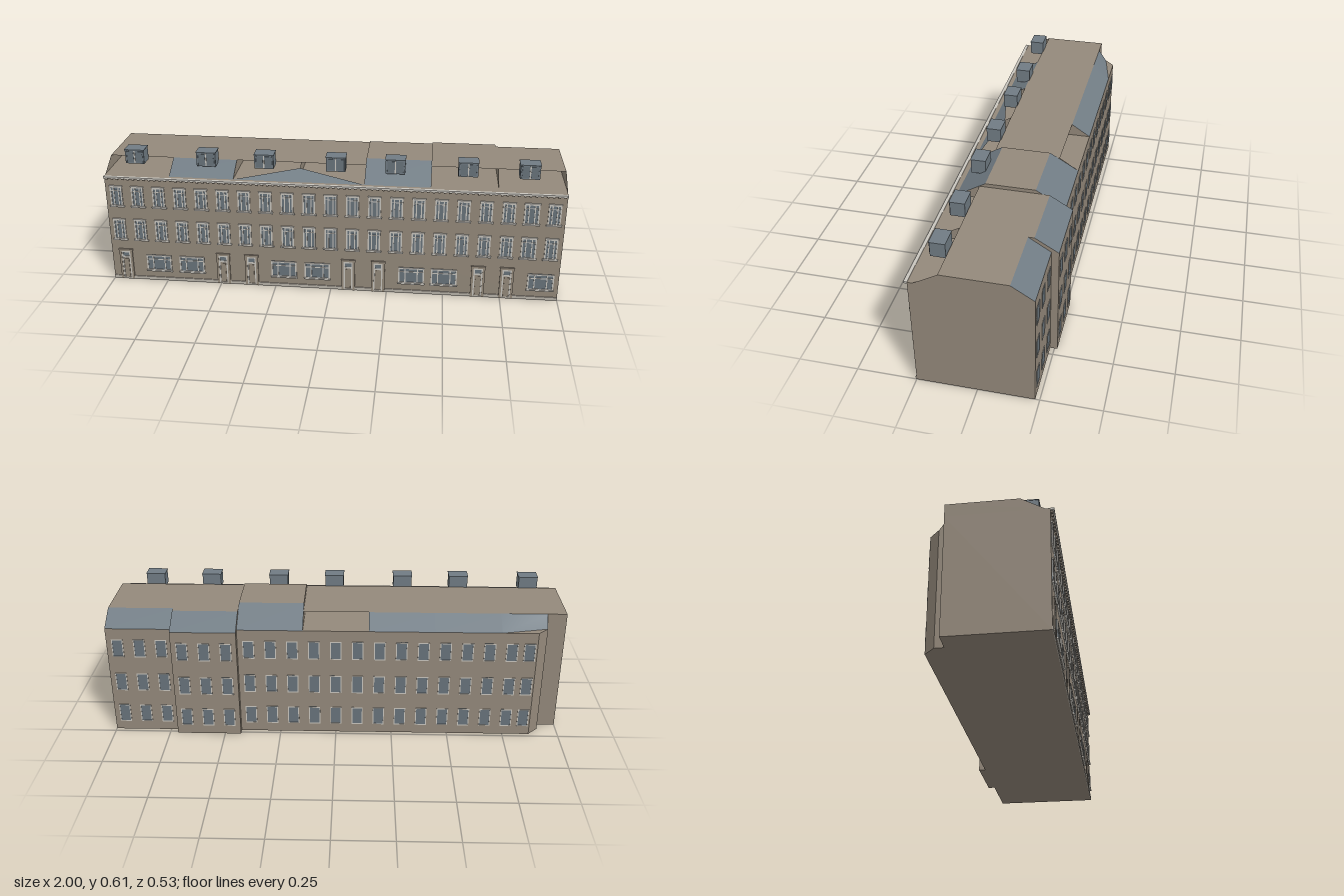
import * as THREE from 'three';

export function createModel() {
  const root = new THREE.Group();
  root.name = 'terraceRow';

  const mat = (name, color, side = THREE.FrontSide) => {
    const m = new THREE.MeshStandardMaterial({ color, side });
    m.name = name;
    return m;
  };
  const brown = mat('brownRender', 0x94897b, THREE.DoubleSide);
  const slate = mat('slate', 0x717c84, THREE.DoubleSide);
  const glass = mat('windowGlass', 0x68737b);
  const trim = mat('paleTrim', 0xc9c6bf);
  const plinthMat = mat('plinthStone', 0xb9b3a9);

  const add = (parent, name, geo, material) => {
    const m = new THREE.Mesh(geo, material);
    m.name = name;
    parent.add(m);
    return m;
  };
  const box = (parent, name, w, h, d, x, y, z, material) => {
    const m = add(parent, name, new THREE.BoxGeometry(w, h, d), material);
    m.position.set(x, y, z);
    return m;
  };
  const group = (name, x = 0, y = 0, z = 0) => {
    const g = new THREE.Group();
    g.name = name;
    g.position.set(x, y, z);
    root.add(g);
    return g;
  };
  // Flat convex sheet through a few corner points
  const sheet = (name, pts, material) => {
    const g = new THREE.BufferGeometry();
    g.setAttribute('position', new THREE.Float32BufferAttribute(pts.flat(), 3));
    const idx = [];
    for (let i = 1; i < pts.length - 1; i++) idx.push(0, i, i + 1);
    g.setIndex(idx);
    g.computeVertexNormals();
    return add(root, name, g, material);
  };

  const W = 2 / 7, EAVE = 0.506, FRONT = 0.25, FEAVE = 0.23;
  const edge = i => -1 + i * W;

  // Walls: footprint with the stepped back, extruded up to the eaves
  const footprint = [
    [-1, FRONT], [1, FRONT], [1, -0.232], [edge(6), -0.232], [edge(6), -0.262],
    [edge(5), -0.262], [edge(5), -0.232], [-0.87, -0.232], [-0.915, -0.188],
    [-0.915, -0.15], [-1, -0.15],
  ];
  const shape = new THREE.Shape(footprint.map(([x, z]) => new THREE.Vector2(x, -z)));
  const walls = new THREE.ExtrudeGeometry(shape, { depth: EAVE, bevelEnabled: false });
  walls.rotateX(-Math.PI / 2);
  add(root, 'walls', walls, brown);

  // Roofs: top height, flat top from front z to back z, back eave, slate on front and back slope
  const houses = [
    [0.56, 0.137, -0.15, -0.232, false, true],
    [0.56, 0.137, -0.15, -0.232, true, true],
    [0.56, 0.137, -0.15, -0.232, false, true],
    [0.56, 0.137, -0.15, -0.232, false, false],
    [0.58, 0.105, -0.107, -0.232, true, true],
    [0.564, 0.13, -0.165, -0.262, false, true],
    [0.564, 0.13, -0.14, -0.232, false, true],
  ];
  houses.forEach(([top, zf, zb, ze, frontSlate, backSlate], i) => {
    const a = edge(i), b = edge(i + 1);
    sheet('roofFlat', [[a, top, zf], [b, top, zf], [b, top, zb], [a, top, zb]], brown);
    if (frontSlate) {
      sheet('frontSlope', [[a, EAVE, FEAVE], [b, EAVE, FEAVE], [b, top, zf], [a, top, zf]], slate);
    }
    if (backSlate && i > 0) {
      sheet('backSlope', [[b, EAVE, ze], [a, EAVE, ze], [a, top, zb], [b, top, zb]], slate);
    }
    // Gable walls between the houses
    for (const x of [a, b]) {
      const back = x === -1 ? zb : ze;
      sheet('gable', [[x, EAVE, FEAVE], [x, EAVE, back], [x, top, zb], [x, top, zf]], brown);
    }
  });
  // Clipped corner of the first house, with its upright back wall
  sheet('backSlope', [[edge(1), EAVE, -0.232], [-0.87, EAVE, -0.232], [-0.915, EAVE, -0.188],
    [-0.915, 0.56, -0.15], [edge(1), 0.56, -0.15]], slate);
  sheet('recessWall', [[-0.915, EAVE, -0.15], [-1, EAVE, -0.15], [-1, 0.56, -0.15], [-0.915, 0.56, -0.15]], brown);
  sheet('recessSide', [[-0.915, EAVE, -0.15], [-0.915, 0.56, -0.15], [-0.915, EAVE, -0.188]], brown);
  // Low triangular slope across two houses
  sheet('triangularSlope', [[edge(2), EAVE, FEAVE], [edge(4), EAVE, FEAVE], [edge(3), 0.545, 0.165]], slate);

  // Cornice with small blocks below it
  box(root, 'cornice', 2, 0.008, 0.014, 0, 0.504, 0.257, trim);
  for (let i = 0; i < 84; i++) {
    box(root, 'corniceBlock', 0.009, 0.007, 0.009, -1 + (i + 0.5) * 2 / 84, 0.4965, 0.2545, brown);
  }

  // Framed window: glass plate, four frame bars and upright mullions
  const frame = (g, w, h, t, mullions) => {
    box(g, 'glass', w, h, 0.002, 0, 0, 0.001, glass);
    for (const s of [-1, 1]) {
      box(g, 'frameSide', t, h, 0.005, s * (w - t) / 2, 0, 0.0025, trim);
      box(g, 'frameBar', w, t, 0.005, 0, s * (h - t) / 2, 0.0025, trim);
    }
    for (const x of mullions) box(g, 'mullion', t * 0.8, h, 0.004, x, 0, 0.002, trim);
  };

  // Upper front windows and all back windows
  for (let k = 0; k < 21; k++) {
    const x = -1 + (k + 0.5) * 2 / 21;
    for (const [y, h] of [[0.412, 0.096], [0.25, 0.1]]) {
      const w = k === 19 ? 0.064 : 0.054;
      const g = group('upperWindow', x, y, FRONT);
      frame(g, w, h, 0.006, [-w * 0.2, w * 0.2]);
      box(g, 'transom', w, 0.003, 0.004, 0, h * 0.28, 0.002, trim);
      box(g, 'sill', w + 0.012, 0.007, 0.008, 0, -h / 2, 0.004, trim);
      box(g, 'lintel', w + 0.004, 0.006, 0.006, 0, h / 2, 0.003, trim);
    }
    if (k === 0) continue;
    const z = k === 15 || k === 16 || k === 17 ? -0.262 : -0.232;
    for (const y of [0.412, 0.245, 0.085]) {
      const g = group('backWindow', k === 1 ? -0.838 : x, y, z);
      g.rotation.y = Math.PI;
      g.scale.z = 0.5;
      frame(g, 0.05, 0.086, 0.004, []);
    }
  }

  // Wide ground floor windows
  for (const x of [-0.784, -0.632, -0.211, -0.061, 0.358, 0.502, 0.922]) {
    const g = group('groundWindow', x, 0.088, FRONT);
    frame(g, 0.114, 0.078, 0.006, [-0.027, 0.027]);
    box(g, 'transom', 0.114, 0.004, 0.004, 0, 0.018, 0.002, trim);
    box(g, 'sill', 0.12, 0.006, 0.008, 0, -0.04, 0.004, trim);
  }

  // Doors, each with surround, pale frame, top light and panel
  const doors = [-0.936, -0.487, -0.358, 0.078, 0.211, 0.65, 0.775];
  for (const x of doors) {
    const g = group('frontDoor', x, 0, FRONT);
    for (const s of [-1, 1]) {
      box(g, 'surround', 0.01, 0.15, 0.006, s * 0.025, 0.075, 0.003, brown);
      box(g, 'doorFrame', 0.006, 0.135, 0.004, s * 0.017, 0.0675, 0.002, trim);
    }
    box(g, 'hood', 0.064, 0.01, 0.007, 0, 0.147, 0.0035, brown);
    box(g, 'doorFrameTop', 0.04, 0.008, 0.004, 0, 0.138, 0.002, trim);
    box(g, 'doorBar', 0.04, 0.008, 0.004, 0, 0.112, 0.002, trim);
    box(g, 'topLight', 0.028, 0.018, 0.002, 0, 0.125, 0.001, glass);
    box(g, 'doorPanel', 0.02, 0.095, 0.003, 0, 0.055, 0.0015, brown);
    box(g, 'doorStep', 0.05, 0.008, 0.005, 0, 0.004, 0.0025, plinthMat);
  }

  // Plinth strips between the doors
  const stops = [-1.03, ...doors, 1.03];
  for (let i = 0; i < stops.length - 1; i++) {
    const a = stops[i] + 0.03, b = stops[i + 1] - 0.03;
    box(root, 'plinth', b - a, 0.015, 0.004, (a + b) / 2, 0.0075, 0.252, plinthMat);
  }

  // Dormers
  for (const x of [-0.872, -0.553, -0.297, 0.016, 0.273, 0.583, 0.842]) {
    const g = group('dormer', x, 0.58, 0);
    box(g, 'dormerBox', 0.084, 0.064, 0.062, 0, 0, 0.165, slate);
    box(g, 'dormerRoof', 0.088, 0.003, 0.066, 0, 0.0315, 0.166, slate);
    for (const s of [-1, 1]) {
      box(g, 'dormerGlass', 0.03, 0.05, 0.002, s * 0.019, 0, 0.197, glass);
      box(g, 'dormerFrame', 0.003, 0.056, 0.003, s * 0.036, 0, 0.1975, slate);
    }
    box(g, 'dormerMullion', 0.005, 0.056, 0.003, 0, 0, 0.1975, trim);
  }
  return root;
}
